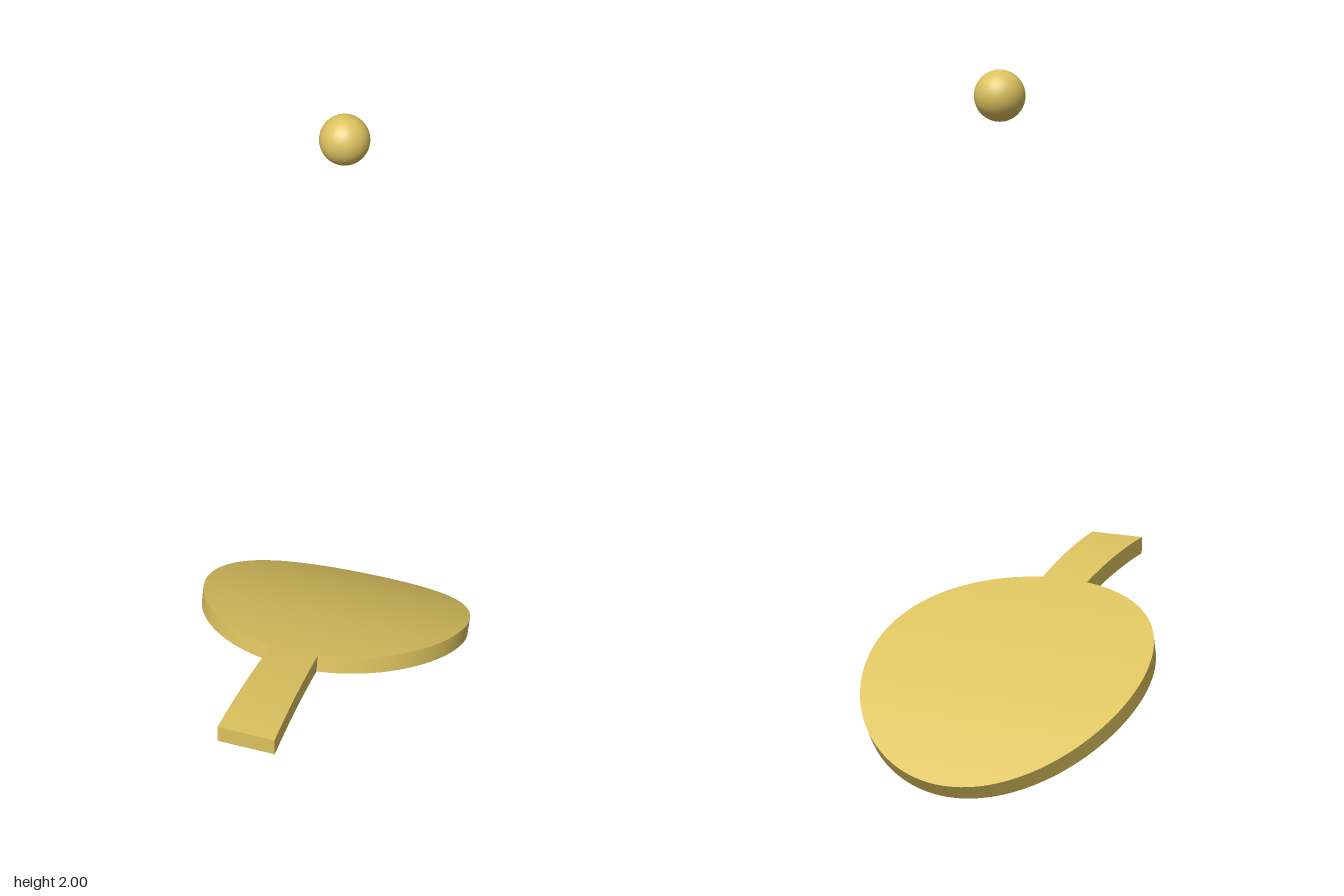
import * as THREE from 'three';

const gold = new THREE.MeshStandardMaterial({ color: 0xdcc25f });
gold.name = 'gold';

// The paddle bends along an arc that is level at the handle end
const BEND = 2.219, FRONT = 0.645, TOP = 0.455, THICK = 0.055;
const HEAD_R = 0.433, HEAD_Z = FRONT * -1 + HEAD_R, NECK = 0.075, GRIP = 0.088;

// Point on the bent sheet: depth is measured inward along the surface normal
function bend(x, z, depth) {
  const angle = Math.asin((FRONT - z) / BEND);
  const r = BEND - depth;
  return [x, TOP - BEND + r * Math.cos(angle), FRONT - r * Math.sin(angle)];
}

// Smooth strip between two matching rows of points
function strip(name, a, b) {
  const index = [], n = a.length;
  for (let i = 0; i < n - 1; i++) index.push(i, i + 1, n + i + 1, i, n + i + 1, n + i);
  const geometry = new THREE.BufferGeometry();
  geometry.setAttribute('position', new THREE.Float32BufferAttribute([...a, ...b].flat(), 3));
  geometry.setIndex(index);
  geometry.computeVertexNormals();
  const mesh = new THREE.Mesh(geometry, gold);
  mesh.name = name;
  return mesh;
}

export function createModel() {
  const model = new THREE.Group();
  model.name = 'paddleAndBall';
  const paddle = new THREE.Group();
  paddle.name = 'paddle';

  // Half widths along the round head, then along the flared handle
  const head = [], handle = [];
  const end = Math.PI - Math.asin(NECK / HEAD_R);
  for (let i = 0; i <= 64; i++) {
    const a = (end * i) / 64;
    head.push([HEAD_R * Math.sin(a), HEAD_Z - HEAD_R * Math.cos(a)]);
  }
  const neckZ = head[64][1];
  for (let i = 0; i <= 16; i++) {
    const t = i / 16;
    handle.push([NECK + (GRIP - NECK) * t, neckZ + (FRONT - neckZ) * t]);
  }

  const row = (stations, side, depth) => stations.map(([w, z]) => bend(w * side, z, depth));

  // Top and bottom faces
  const all = [...head, ...handle.slice(1)];
  paddle.add(strip('topFace', row(all, -1, 0), row(all, 1, 0)));
  paddle.add(strip('bottomFace', row(all, 1, THICK), row(all, -1, THICK)));

  // Rim of the head, from the right of the neck round to the left
  const rim = (depth) => [...row(head, -1, depth).reverse(), ...row(head, 1, depth).slice(1)];
  paddle.add(strip('headRim', rim(0), rim(THICK)));

  // Handle sides and end
  paddle.add(strip('handleLeftSide', row(handle, 1, 0), row(handle, 1, THICK)));
  paddle.add(strip('handleRightSide', row(handle, -1, THICK), row(handle, -1, 0)));
  const ends = (depth) => [bend(-GRIP, FRONT, depth), bend(GRIP, FRONT, depth)];
  paddle.add(strip('handleEnd', ends(THICK), ends(0)));
  model.add(paddle);

  // Ball in the air above the head
  const ball = new THREE.Mesh(new THREE.SphereGeometry(0.072, 48, 32), gold);
  ball.name = 'ball';
  ball.position.set(0, 1.928, -0.248);
  model.add(ball);
  return model;
}
